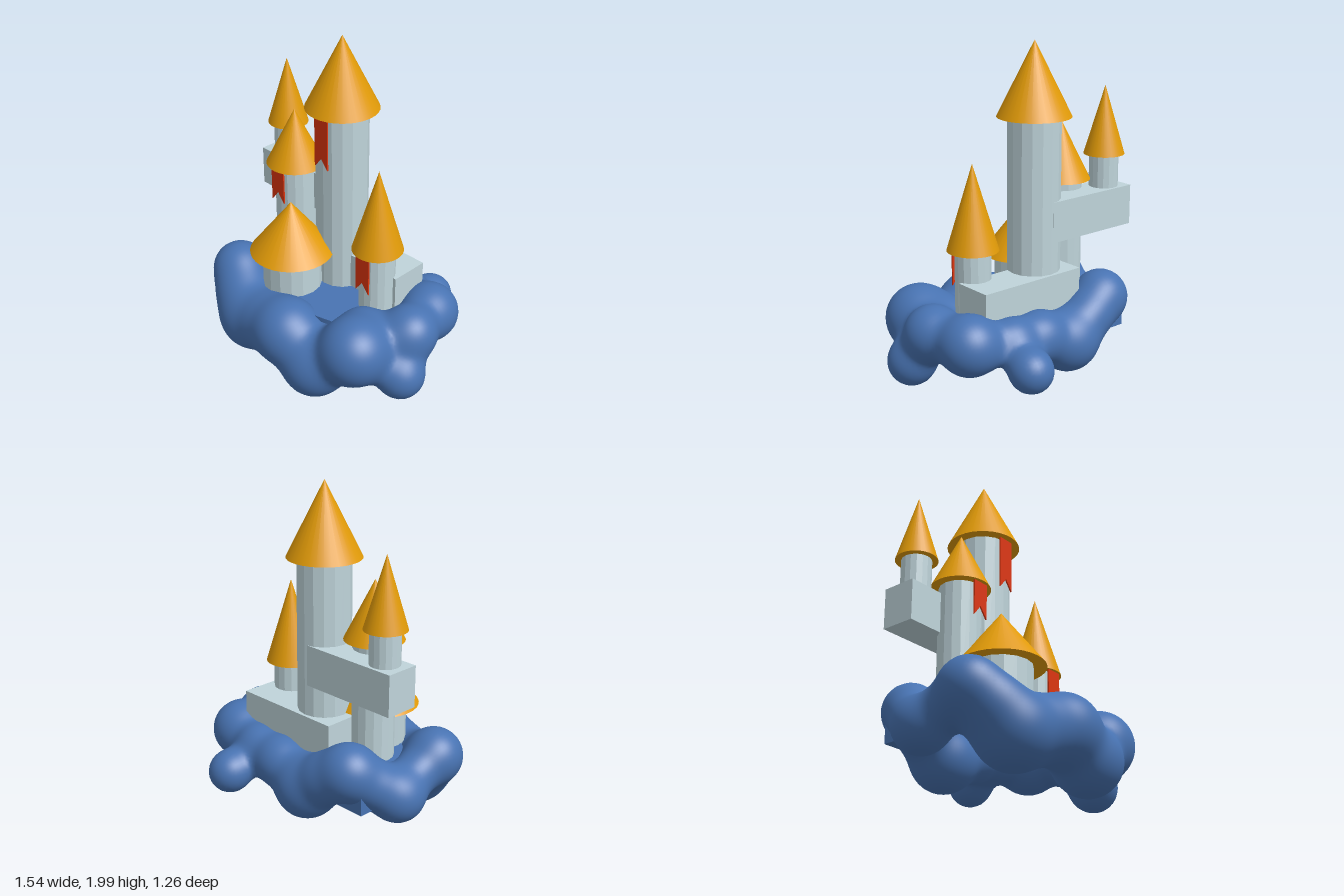
import * as THREE from 'three';

const mat = (name, color, extra = {}) => {
  const m = new THREE.MeshStandardMaterial({ color, ...extra });
  m.name = name;
  return m;
};

// Cloud puffs: x, y, z, radius
const PUFFS = [
  [-0.61, 0.425, 0.28, 0.158], [-0.5, 0.33, 0.345, 0.16], [-0.38, 0.22, 0.375, 0.205], [-0.2, 0.28, 0.4, 0.175],
  [-0.02, 0.32, 0.425, 0.2], [0.2, 0.2, 0.415, 0.195], [0.435, 0.37, 0.335, 0.2], [0.57, 0.405, 0.02, 0.16],
  [0.625, 0.205, 0.15, 0.14], [0.5, 0.39, -0.23, 0.175], [0.26, 0.38, -0.3, 0.125], [0.29, 0.27, -0.505, 0.125],
  [0.06, 0.35, -0.3, 0.15], [-0.16, 0.27, -0.305, 0.185], [-0.32, 0.385, -0.31, 0.135], [-0.46, 0.46, -0.27, 0.16],
  [-0.55, 0.37, -0.16, 0.12], [-0.615, 0.285, -0.04, 0.153], [-0.6, 0.36, 0.12, 0.11], [0.35, 0.37, 0.17, 0.145],
];

// Smoothly blended distance to all puffs
function field(x, y, z) {
  const k = 0.04;
  let sum = 0;
  for (const [a, b, c, r] of PUFFS) sum += Math.exp((r - Math.hypot(x - a, y - b, z - c)) / k);
  return -k * Math.log(sum + 1e-300);
}

// Skin of the blended puffs, one point per grid cell that the surface crosses
function cloudGeometry() {
  const h = 0.023, min = [-0.86, -0.06, -0.72], n = [74, 34, 63];
  const step = [1, n[0], n[0] * n[1]];
  const id = (p) => p[0] + p[1] * step[1] + p[2] * step[2];
  const at = (p) => p.map((v, a) => min[a] + v * h);
  const values = new Float32Array(n[0] * n[1] * n[2]);
  const cells = new Map(), pos = [], nor = [], index = [];
  const each = (from, fn) => {
    for (let z = from; z < n[2] - 1; z++)
      for (let y = from; y < n[1] - 1; y++)
        for (let x = from; x < n[0] - 1; x++) fn([x, y, z]);
  };
  values.fill(1);
  each(0, (p) => { values[id(p)] = field(...at(p)); });

  each(0, (p) => {
    const sum = [0, 0, 0];
    let count = 0;
    for (let c = 0; c < 8; c++) {
      const q = p.map((v, a) => v + ((c >> a) & 1));
      for (let a = 0; a < 3; a++) {
        if ((c >> a) & 1) continue;
        const f = values[id(q)], g = values[id(q) + step[a]];
        if ((f < 0) === (g < 0)) continue;
        for (let b = 0; b < 3; b++) sum[b] += q[b] + (a === b ? f / (f - g) : 0);
        count++;
      }
    }
    if (!count) return;
    const [x, y, z] = at(sum.map((v) => v / count)), e = 0.004;
    cells.set(id(p), pos.length / 3);
    pos.push(x, y, z);
    const g = new THREE.Vector3(
      field(x + e, y, z) - field(x - e, y, z),
      field(x, y + e, z) - field(x, y - e, z),
      field(x, y, z + e) - field(x, y, z - e)).normalize();
    nor.push(g.x, g.y, g.z);
  });

  each(1, (p) => {
    const i = id(p);
    for (let a = 0; a < 3; a++) {
      const inside = values[i] < 0;
      if (inside === (values[i + step[a]] < 0)) continue;
      const b = step[(a + 1) % 3], c = step[(a + 2) % 3];
      const q = [i - b - c, i - c, i, i - b].map((v) => cells.get(v));
      if (!inside) q.reverse();
      index.push(q[0], q[1], q[2], q[0], q[2], q[3]);
    }
  });

  const g = new THREE.BufferGeometry();
  g.setAttribute('position', new THREE.Float32BufferAttribute(pos, 3));
  g.setAttribute('normal', new THREE.Float32BufferAttribute(nor, 3));
  g.setIndex(index);
  return g;
}

export function createModel() {
  const model = new THREE.Group();
  model.name = 'cloudCastle';
  const stone = mat('pale stone', 0xbfd4da, { flatShading: true });
  const gold = mat('golden roof', 0xe29b08);
  const red = mat('red cloth', 0xdc350e);
  const blue = mat('blue cloud', 0x4873b2);

  const add = (parent, name, geometry, material, x = 0, y = 0, z = 0) => {
    const m = new THREE.Mesh(geometry, material);
    m.name = name;
    m.position.set(x, y, z);
    parent.add(m);
    return m;
  };

  // Cloud ring, the floor inside it and a ledge under its back corner
  add(model, 'cloud', cloudGeometry(), blue);
  add(model, 'cloudFloor', new THREE.CylinderGeometry(1, 1, 0.03, 24), blue, -0.01, 0.435, 0.01).scale.set(0.52, 1, 0.33);
  add(model, 'cloudLedge', new THREE.BoxGeometry(0.24, 0.13, 0.12), blue, -0.48, 0.32, -0.26);

  // Swallow-tailed banner hanging from y = 0
  const banner = (w, len, notch) => {
    const s = new THREE.Shape();
    s.moveTo(-w / 2, 0);
    s.lineTo(-w / 2, -len);
    s.lineTo(0, -len + notch);
    s.lineTo(w / 2, -len);
    s.lineTo(w / 2, 0);
    return new THREE.ExtrudeGeometry(s, { depth: 0.009, bevelEnabled: false });
  };

  // Towers: round shaft from y0 to y1, cone roof up to y2, optional banner length
  const towers = [
    { name: 'mainTower', x: -0.083, z: -0.092, r: 0.155, y0: 0.41, y1: 1.572, roof: 0.215, y2: 2, flag: 0.325, out: 0.165 },
    { name: 'rightTower', x: -0.381, z: 0, r: 0.122, y0: 0.41, y1: 1.147, roof: 0.172, y2: 1.49, flag: 0.21, out: 0.14 },
    { name: 'leftTower', x: 0.292, z: 0, r: 0.106, y0: 0.4, y1: 0.84, roof: 0.15, y2: 1.34, flag: 0.235, out: 0.122 },
    { name: 'frontTower', x: -0.237, z: 0.177, r: 0.177, y0: 0.41, y1: 0.677, roof: 0.25, y2: 1 },
    { name: 'hangingTower', x: -0.591, z: -0.142, r: 0.087, y0: 1.05, y1: 1.292, roof: 0.122, y2: 1.7 },
  ];
  for (const t of towers) {
    const g = new THREE.Group();
    g.name = t.name;
    g.position.set(t.x, 0, t.z);
    model.add(g);
    add(g, 'shaft', new THREE.CylinderGeometry(t.r, t.r, t.y1 - t.y0, 16), stone, 0, (t.y0 + t.y1) / 2);
    add(g, 'roof', new THREE.ConeGeometry(t.roof, t.y2 - t.y1, 32), gold, 0, (t.y1 + t.y2) / 2);
    if (t.flag) add(g, 'banner', banner(0.1, t.flag, 0.064), red, 0.003, t.y1, t.out);
  }

  // Stone walls joining the towers
  const wall = (name, x0, x1, y0, y1, z0, z1) => add(model, name,
    new THREE.BoxGeometry(x1 - x0, y1 - y0, z1 - z0), stone, (x0 + x1) / 2, (y0 + y1) / 2, (z0 + z1) / 2);
  wall('upperWall', -0.718, -0.1, 0.857, 1.097, -0.245, -0.04);
  wall('lowerWall', -0.29, 0.412, 0.455, 0.673, -0.264, -0.025);

  return model;
}
